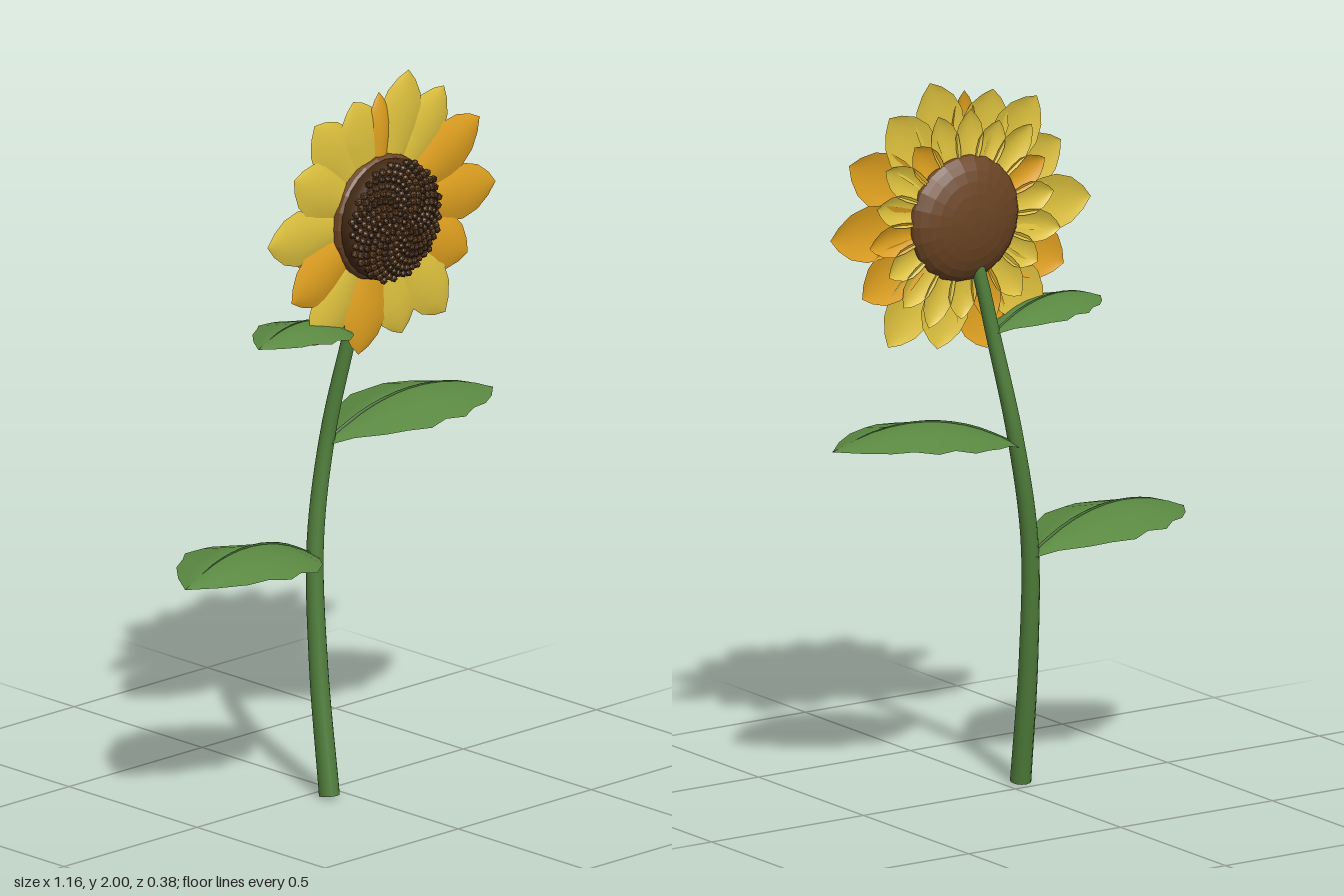
import * as THREE from 'three';
import { mergeGeometries } from 'three/addons/utils/BufferGeometryUtils.js';

const V = (x, y, z) => new THREE.Vector3(x, y, z);

// Open sheet: point(i, s) gives the vertex at row i and side position s in -1..1
function sheet(rows, cols, point) {
  const pos = [], index = [];
  for (let i = 0; i < rows; i++) {
    for (let j = 0; j <= cols; j++) pos.push(...point(i, (j / cols) * 2 - 1).toArray());
  }
  for (let i = 0; i < rows - 1; i++) {
    for (let j = 0; j < cols; j++) {
      const a = i * (cols + 1) + j, b = a + cols + 1;
      index.push(a, a + 1, b, b, a + 1, b + 1);
    }
  }
  const g = new THREE.BufferGeometry();
  g.setAttribute('position', new THREE.Float32BufferAttribute(pos, 3));
  g.setIndex(index);
  g.computeVertexNormals();
  return g;
}

// Round tube narrowing from radius r0 to r1
function taperedTube(curve, segs, r0, r1, sides) {
  const g = new THREE.TubeGeometry(curve, segs, r0, sides);
  const p = g.attributes.position, v = V(0, 0, 0);
  for (let i = 0; i < p.count; i++) {
    const t = Math.floor(i / (sides + 1)) / segs;
    const c = curve.getPointAt(t);
    v.fromBufferAttribute(p, i).sub(c).multiplyScalar(1 + (r1 / r0 - 1) * t).add(c);
    p.setXYZ(i, v.x, Math.max(0, v.y), v.z);
  }
  return g;
}

// Petal pointing along +x from inner radius r0 to tip radius r1
const PETAL_T = [0, 0.25, 0.48, 0.64, 0.8, 0.92, 1];
const PETAL_W = [0.4, 0.68, 0.94, 1, 0.8, 0.42, 0];
function petalGeometry(r0, r1, halfWidth) {
  return sheet(7, 6, (i, s) => {
    const t = PETAL_T[i], w = PETAL_W[i];
    return V(r0 + (r1 - r0) * t, s * w * halfWidth, 0.014 * w * (1 - s * s) - 0.005);
  });
}

// Toothed leaf outline along its length
const LEAF_T = [0, 0.09, 0.2, 0.29, 0.39, 0.49, 0.59, 0.69, 0.79, 0.9, 1];
const LEAF_W = [0.02, 0.06, 0.12, 0.152, 0.185, 0.172, 0.185, 0.148, 0.125, 0.07, 0];

export function createModel() {
  const model = new THREE.Group();
  model.name = 'sunflower';
  const mat = (name, color, extra = {}) => new THREE.MeshStandardMaterial({ name, color, ...extra });
  const double = { side: THREE.DoubleSide };
  const stemGreen = mat('stem green', 0x4f7d3a);
  const leafGreen = mat('leaf green', 0x5b8a42, double);
  const veinGreen = mat('vein green', 0x426b30);
  const yellow = mat('petal yellow', 0xe2c53f, double);
  const orange = mat('petal orange', 0xe3a320, double);
  const brown = mat('head brown', 0x6b4423, { flatShading: true });
  const darkBrown = mat('disc dark brown', 0x432a14);
  const seedBrown = mat('seed brown', 0x5c3b1e, { flatShading: true });

  const add = (parent, name, geometry, material) => {
    const m = new THREE.Mesh(geometry, material);
    m.name = name;
    parent.add(m);
    return m;
  };

  // Curved stem with a closed foot
  const stemCurve = new THREE.CatmullRomCurve3([
    V(-0.053, 0.004, 0.052), V(-0.041, 0.36, -0.003), V(-0.022, 0.7, -0.035),
    V(0.025, 1.0, -0.034), V(0.07, 1.28, 0.005), V(0.1, 1.45, 0.026), V(0.125, 1.56, 0.045),
  ]);
  add(model, 'stem', taperedTube(stemCurve, 40, 0.029, 0.018, 12), stemGreen);
  const foot = add(model, 'stemFoot', new THREE.CircleGeometry(0.028, 12), stemGreen);
  foot.position.set(-0.053, 0.003, 0.052);
  foot.rotation.x = Math.PI / 2;

  // Arched leaves, folded down along a raised midrib
  function addLeaf(name, base, tip, scale, arch) {
    const group = new THREE.Group();
    group.name = name;
    const dir = tip.clone().sub(base).setY(0).normalize();
    const side = V(-dir.z, 0, dir.x);
    const spine = (t) => {
      const p = base.clone().lerp(tip, t);
      p.y += arch * 4 * t * (1 - t);
      return p;
    };
    const blade = sheet(LEAF_T.length, 4, (i, s) => {
      const w = LEAF_W[i] * scale * s;
      const p = spine(LEAF_T[i]).addScaledVector(side, w);
      p.y -= Math.abs(w) * 0.25;
      return p;
    });
    add(group, 'leafBlade', blade, leafGreen);
    const rib = new THREE.CatmullRomCurve3([0, 0.25, 0.5, 0.75, 1].map(spine));
    add(group, 'leafMidrib', taperedTube(rib, 14, 0.006 * scale, 0.001, 6), veinGreen);
    model.add(group);
  }
  addLeaf('lowerLeaf', V(-0.025, 0.66, -0.035), V(-0.578, 0.7, 0.035), 1, 0.075);
  addLeaf('middleLeaf', V(0.02, 0.975, -0.035), V(0.578, 1.02, 0.035), 1, 0.075);
  addLeaf('upperLeaf', V(0.068, 1.29, 0), V(-0.31, 1.325, 0.042), 0.7, 0.052);

  // Flower head
  const head = new THREE.Group();
  head.name = 'flowerHead';
  head.position.set(0.138, 1.608, 0.052);
  model.add(head);

  const back = add(head, 'headBack', new THREE.SphereGeometry(0.178, 22, 14), brown);
  back.rotation.x = Math.PI / 2;
  back.scale.set(1, 0.37, 1);

  // Domed seed disc
  const profile = [[0.166, 0.015], [0.17, 0.045], [0.16, 0.062], [0.11, 0.075], [0.05, 0.083], [0, 0.085]]
    .map(([r, h]) => new THREE.Vector2(r, h));
  add(head, 'seedDisc', new THREE.LatheGeometry(profile, 28), darkBrown).rotation.x = Math.PI / 2;

  // Seeds in a spiral, in two shades
  const seeds = [[], []];
  const count = 230;
  for (let i = 0; i < count; i++) {
    const q = Math.sqrt((i + 0.5) / count), a = i * 2.39996;
    const g = new THREE.IcosahedronGeometry(0.0095 + 0.002 * q, 0);
    g.rotateZ(a);
    g.translate(Math.cos(a) * q * 0.167, Math.sin(a) * q * 0.167, 0.086 - 0.026 * q * q);
    seeds[i % 3 === 0 ? 0 : 1].push(g);
  }
  add(head, 'darkSeeds', mergeGeometries(seeds[0]), darkBrown);
  add(head, 'brownSeeds', mergeGeometries(seeds[1]), seedBrown);

  // Outer petals: angle in degrees, tip radius, orange or not
  const outer = [
    [0, 0.44, 1], [28, 0.425, 1], [52, 0.4, 0], [74.5, 0.407, 0], [91, 0.355, 1],
    [106, 0.36, 0], [128, 0.39, 0], [152, 0.365, 0], [180, 0.417, 0], [208, 0.375, 1],
    [232, 0.402, 0], [258, 0.385, 1], [284, 0.365, 0], [307, 0.41, 0], [332, 0.38, 1],
  ];
  outer.forEach(([deg, r, isOrange], i) => {
    const narrow = deg === 91;
    const petal = add(head, 'outerPetal', petalGeometry(0.1, r, narrow ? 0.04 : 0.079), isOrange ? orange : yellow);
    petal.rotation.z = THREE.MathUtils.degToRad(deg);
    petal.position.z = narrow ? 0.006 : (i % 2) * 0.005 - 0.002;
  });

  // Shorter petals behind, set in the gaps
  const innerCount = 18;
  for (let i = 0; i < innerCount; i++) {
    const r = 0.3 + 0.02 * Math.sin(i * 2.3);
    const petal = add(head, 'innerPetal', petalGeometry(0.1, r, 0.046), i % 5 === 2 ? orange : yellow);
    petal.rotation.z = ((i + 0.65) / innerCount) * Math.PI * 2;
    petal.position.z = -0.011;
  }

  return model;
}
